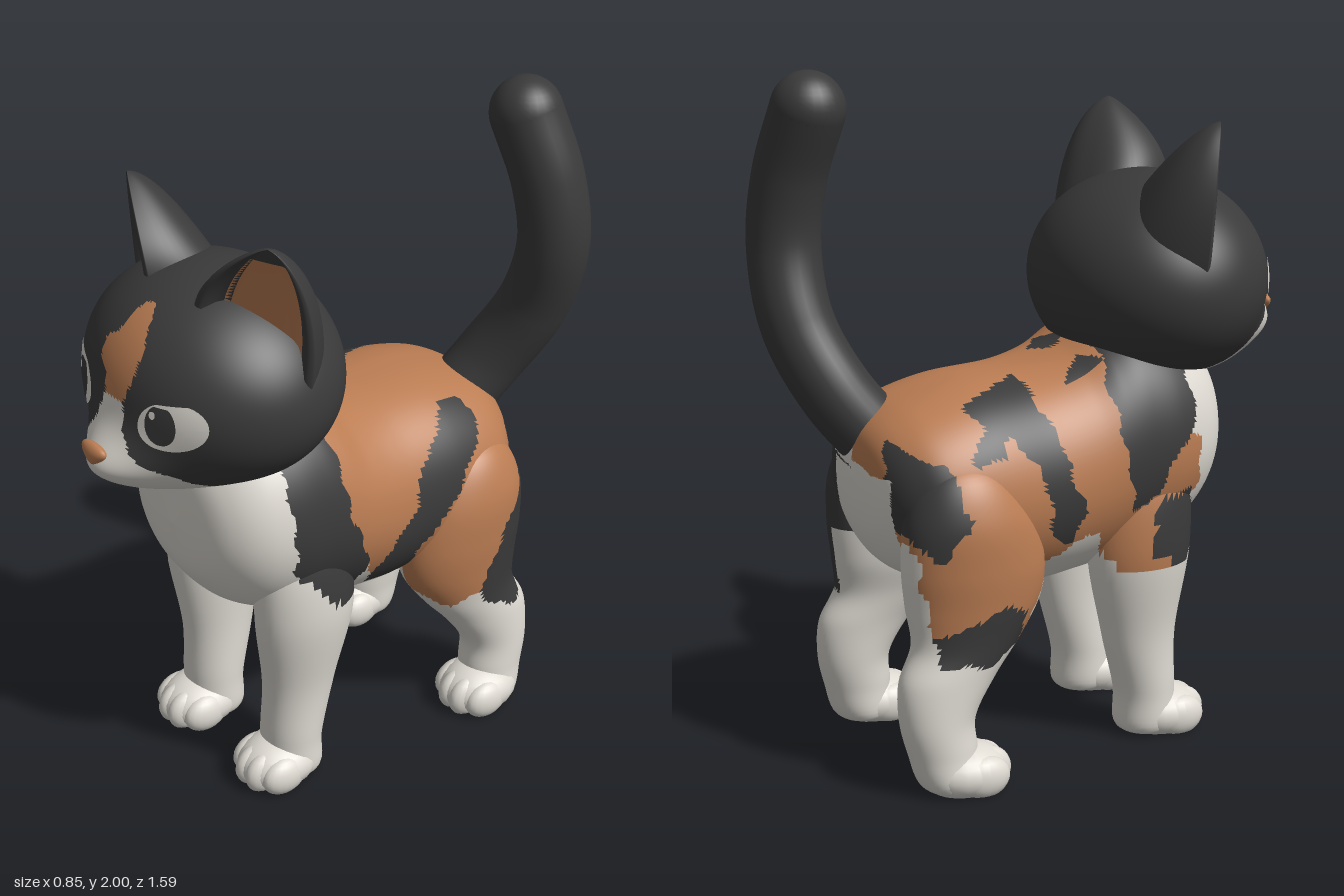
import * as THREE from 'three';
import { mergeVertices } from 'three/addons/utils/BufferGeometryUtils.js';

const flat = (name, color) => {
  const m = new THREE.MeshStandardMaterial({ color });
  m.name = name;
  return m;
};
const WHITE = 0, DARK = 1, ORANGE = 2;

// Coat patches seen from the side as [z, y] outlines, one list per flank; later ones lie on top.
const LEFT_COAT = [
  [ORANGE, [[.17, 1.3], [.17, 1.05], [.13, .85], [.04, .69], [-.05, .6], [-.12, .55], [-.16, .49], [-.27, .44], [-.36, .5],
    [-.45, .7], [-.55, .83], [-.62, 1.0], [-.6, 1.3]]],
  [DARK, [[.34, 1.2], [.325, .8], [.2, .65], [.1, .6], [.05, .7], [.14, .93], [.16, 1.2]]],
  [DARK, [[-.37, 1.085], [-.29, 1.07], [-.14, .96], [-.1, .86], [-.02, .75], [.03, .65], [.02, .58], [-.07, .56], [-.13, .6],
    [-.14, .7], [-.23, .81], [-.41, 1.03]]],
  [DARK, [[-.54, .94], [-.62, .9], [-.62, .6], [-.53, .37], [-.46, .37], [-.39, .41], [-.33, .49], [-.42, .68], [-.52, .8]]],
];
const RIGHT_COAT = [
  [ORANGE, [[.12, 1.3], [.28, .97], [.36, .93], [.37, .78], [.26, .56], [.1, .55], [.02, .7], [-.08, .66], [-.15, .6], [-.25, .42],
    [-.5, .42], [-.54, .6], [-.58, .85], [-.65, 1.0], [-.6, 1.3]]],
  [DARK, [[.33, 1.2], [.35, .97], [.28, .92], [.22, .78], [.14, .74], [.1, .9], [.08, 1.1], [.1, 1.2]]],
  [DARK, [[.34, .78], [.39, .68], [.37, .57], [.28, .55], [.2, .6], [.2, .72], [.26, .77]]],
  [DARK, [[-.16, 1.1], [-.1, 1.0], [-.08, .88], [-.03, .76], [-.08, .67], [-.14, .72], [-.16, .86], [-.22, .98], [-.28, 1.06]]],
  [DARK, [[-.23, .52], [-.26, .42], [-.33, .38], [-.5, .39], [-.52, .48], [-.42, .5], [-.34, .55]]],
  [DARK, [[-.45, .95], [-.42, .8], [-.5, .7], [-.6, .78], [-.6, .88], [-.56, 1.0]]],
];
// Patches on the back as [x, z] outlines
const BACK_SPOTS = [
  [[-.38, -.36], [-.31, -.38], [-.27, -.32], [-.19, -.35], [-.14, -.23], [-.08, -.14], [-.2, -.12], [-.25, -.17], [-.3, -.27], [-.38, -.27]],
  [[-.2, -.02], [-.16, 0], [-.12, .05], [-.2, .1]],
  [[-.02, .02], [.06, -.02], [.09, .01], [.13, .04], [0, .1]],
];
// Face markings as [x, y] outlines
const BLAZE = [[-.02, 1.613], [-.04, 1.585], [-.05, 1.54], [-.09, 1.51], [-.085, 1.46], [-.04, 1.43], [-.035, 1.38], [.045, 1.38],
  [.07, 1.45], [.07, 1.53], [.045, 1.57], [.035, 1.59], [.012, 1.615]];
const MASK = [[-.035, 1.385], [.045, 1.385], [.06, 1.3], [.11, 1.23], [.18, 1.18], [.21, 1.09], [.3, 1.0], [-.3, 1.0],
  [-.21, 1.09], [-.18, 1.18], [-.11, 1.23], [-.06, 1.3]];

function inside(x, y, poly) {
  let hit = false;
  poly.forEach(([ax, ay], i) => {
    const [bx, by] = poly[(i + 1) % poly.length];
    if ((ay > y) !== (by > y) && x < ((bx - ax) * (y - ay)) / (by - ay) + ax) hit = !hit;
  });
  return hit;
}

// Coat colour at a point of the body or legs, with slightly wavy patch edges
function coat(p) {
  const x = p.x;
  const y = p.y + .007 * Math.sin(p.z * 47), z = p.z + .007 * Math.sin(p.y * 53);
  if (Math.abs(x) < .245 && (y < .64 || (z > .2 && y < .8))) return WHITE;
  if (y < .9 && z < -.5 && x > -.2 && x < .13) return WHITE;
  if (y > .95 && BACK_SPOTS.some((s) => inside(x, z, s))) return DARK;
  if (y > 1.0 && z < .1 && Math.abs(x) < .2) return ORANGE;
  let colour = WHITE;
  for (const [c, poly] of x > 0 ? LEFT_COAT : RIGHT_COAT) if (inside(z, y, poly)) colour = c;
  return colour;
}

// Sorts the triangles of an indexed geometry into one material group per colour
function paint(geo, rule) {
  const pos = geo.attributes.position, src = geo.index.array, bins = [[], [], []];
  const c = new THREE.Vector3(), v = new THREE.Vector3();
  for (let i = 0; i < src.length; i += 3) {
    c.set(0, 0, 0);
    for (let k = 0; k < 3; k++) c.addScaledVector(v.fromBufferAttribute(pos, src[i + k]), 1 / 3);
    bins[rule(c, i / 6)].push(src[i], src[i + 1], src[i + 2]);
  }
  geo.setIndex(bins.flat());
  let start = 0;
  bins.forEach((b, m) => {
    if (b.length) geo.addGroup(start, b.length, m);
    start += b.length;
  });
  geo.computeVertexNormals();
  return geo;
}

// Skin over closed rings; at(t, angle) gives each point
function rings(n, m, at, flip = false) {
  const pos = [], idx = [];
  for (let i = 0; i <= n; i++) for (let j = 0; j < m; j++) pos.push(...at(i / n, (j / m) * Math.PI * 2));
  for (let i = 0; i < n; i++) for (let j = 0; j < m; j++) {
    const a = i * m + j, b = i * m + ((j + 1) % m), c = b + m, d = a + m;
    idx.push(...(flip ? [a, c, b, a, d, c] : [a, b, c, a, c, d]));
  }
  const geo = new THREE.BufferGeometry();
  geo.setAttribute('position', new THREE.Float32BufferAttribute(pos, 3));
  geo.setIndex(idx);
  return geo;
}

// Loft through rows [x, y, z, radiusX, radiusOther]; upright lofts have level rings, others a squarer top
function loft(rows, n, m, upright) {
  const spline = (pts) => new THREE.CatmullRomCurve3(pts, false, 'catmullrom', .5);
  const mid = spline(rows.map((r) => new THREE.Vector3(r[0], r[1], r[2])));
  const rad = spline(rows.map((r) => new THREE.Vector3(r[3], r[4], 0)));
  return rings(n, m, (t, a) => {
    const p = mid.getPoint(t), r = rad.getPoint(t), cos = Math.cos(a);
    const v = Math.max(r.y, 0) * Math.sin(a), u = Math.max(r.x, 0);
    if (upright) return [p.x + u * cos, Math.max(p.y, 0), p.z + v];
    return [p.x + u * Math.sign(cos) * Math.abs(cos) ** (v > 0 ? .82 : 1), p.y + v, p.z];
  });
}

// Front surface of the head, with the muzzle swelling out of it
const HEAD = { y: 1.36, z: .36, rx: .4, ry: .31, rz: .34 };
function faceZ(x, y) {
  const d = Math.sqrt(Math.max(0, 1 - (x / HEAD.rx) ** 2 - ((y - HEAD.y) / HEAD.ry) ** 2));
  const muzzle = .15 * Math.exp(-((x / .16) ** 2) - ((y - 1.155) / (y > 1.155 ? .115 : .2)) ** 2);
  return HEAD.z + HEAD.rz * d + muzzle * THREE.MathUtils.smoothstep(d, 0, .4);
}

export function createModel() {
  const cat = new THREE.Group();
  cat.name = 'cat';
  const mats = [flat('white fur', 0xdedad2), flat('dark fur', 0x3a3a3a), flat('orange fur', 0xbb7d53)];
  const add = (name, geo, mat = mats) => {
    const mesh = new THREE.Mesh(geo, mat);
    mesh.name = name;
    cat.add(mesh);
    return mesh;
  };

  // Body, from rump to chest: [z, top, bottom, half width]
  const sections = [[-.61, .87, .87, 0], [-.602, .95, .77, .1], [-.58, 1.01, .69, .2], [-.53, 1.055, .61, .28], [-.45, 1.09, .56, .33],
    [-.3, 1.125, .51, .35], [-.1, 1.14, .49, .345], [.03, 1.175, .5, .342], [.12, 1.23, .51, .34], [.2, 1.26, .52, .337], [.3, 1.25, .55, .33],
    [.4, 1.21, .61, .3], [.47, 1.15, .69, .24], [.51, 1.07, .77, .15], [.525, .9, .9, 0]];
  const bodyRows = sections.map(([z, top, low, w]) => [0, (top + low) / 2, z, w, (top - low) / 2]);
  add('body', paint(loft(bodyRows, 150, 140, false), coat));

  // Head
  const skull = new THREE.SphereGeometry(1, 180, 120);
  skull.deleteAttribute('uv');
  skull.deleteAttribute('normal');
  const sp = skull.attributes.position;
  for (let i = 0; i < sp.count; i++) {
    const x = sp.getX(i) * HEAD.rx, y = HEAD.y + sp.getY(i) * HEAD.ry, z = sp.getZ(i);
    sp.setXYZ(i, x, y, z > 0 ? faceZ(x, y) : HEAD.z + z * HEAD.rz);
  }
  add('head', paint(mergeVertices(skull, 1e-5), (p) => {
    if (p.z < .3) return DARK;
    if (inside(p.x, p.y, BLAZE)) return ORANGE;
    return p.y < 1.09 || inside(p.x, p.y, MASK) ? WHITE : DARK;
  }));

  // Thin almond plate lying on the face
  const plate = (name, x, y, rx, ry, lift, mat, tilt = 0) => {
    const geo = new THREE.RingGeometry(0, 1, 40, 8), p = geo.attributes.position;
    for (let i = 0; i < p.count; i++) {
      const px = x + p.getX(i) * rx, py = y + Math.min(p.getY(i), .88) * ry + p.getX(i) * tilt;
      p.setXYZ(i, px, py, faceZ(px, py) + lift);
    }
    geo.computeVertexNormals();
    add(name, geo, mat);
  };

  // Nose, a small rounded triangle
  const nose = new THREE.SphereGeometry(1, 24, 16), np = nose.attributes.position;
  for (let i = 0; i < np.count; i++) {
    const y = np.getY(i);
    np.setXYZ(i, np.getX(i) * (.044 + .03 * y), y * .033, np.getZ(i) * .022);
  }
  nose.computeVertexNormals();
  add('nose', nose, mats[ORANGE]).position.set(0, 1.226, .77);

  for (const s of [1, -1]) {
    const side = s > 0 ? 'left' : 'right';

    // Eyes
    plate(side + 'Eye', s * .2, 1.355, .092, .074, .005, mats[WHITE], s * .012);
    plate(side + 'Pupil', s * .176, 1.357, .043, .06, .009, mats[DARK]);
    plate(side + 'EyeGlint', s * .176 - .02, 1.385, .009, .012, .012, mats[WHITE]);

    // Ears: crescent rings narrowing to a rounded tip, hollow side facing forward and outward
    const n = 40, m = 50;
    const ear = rings(n, m, (k, a) => {
      const t = 1 - 1.3 * (1 - k) ** 2, base = Math.max(t, 0);
      const sin = Math.sin(a), cos = Math.cos(a), depth = (1 - base) ** .62;
      const u = Math.sign(cos) * Math.abs(cos) ** (sin > 0 ? .8 : 1) * .168 * (1 - base ** 2.2) ** .72;
      const w = sin > 0 ? .24 * sin ** .85 * depth : .07 * depth * THREE.MathUtils.smoothstep(-sin, .45, .85) + .025 * sin * depth;
      return [s * (.245 + .065 * t + .86 * u - .51 * w), 1.54 + .305 * t - .5 * u * (1 - base), .41 - .51 * u - .86 * w];
    }, s < 0);
    add(side + 'Ear', paint(ear, (p, cell) => {
      const t = 1 - 1.3 * (1 - (Math.floor(cell / m) + .5) / n) ** 2, a = (((cell % m) + .5) / m) * Math.PI * 2;
      const across = Math.cos(a);
      return Math.sin(a) < 0 && across > -.58 && across < .74 && t < .84 ? ORANGE : DARK;
    }));

    // Front leg
    add(side + 'FrontLeg', paint(loft([[s * .21, .9, .23, 0, 0], [s * .215, .82, .23, .09, .13], [s * .215, .6, .215, .118, .162],
      [s * .198, .33, .225, .097, .116], [s * .193, .14, .25, .096, .092], [s * .193, .02, .25, .09, .085], [s * .193, 0, .25, 0, 0]],
    44, 44, true), coat));

    // Hind leg with its thigh
    add(side + 'HindLeg', paint(loft([[s * .22, .98, -.38, 0, 0], [s * .235, .92, -.38, .1, .12], [s * .255, .8, -.37, .136, .19],
      [s * .258, .66, -.355, .139, .215], [s * .256, .54, -.355, .132, .205], [s * .268, .43, -.385, .11, .165], [s * .28, .33, -.45, .099, .146],
      [s * .287, .22, -.487, .095, .112], [s * .293, .12, -.475, .094, .102], [s * .3, .02, -.46, .09, .08], [s * .3, 0, -.46, 0, 0]],
    70, 64, true), coat));

    // Paws with four softly swelling toes each, flat underneath
    for (const [name, x, z] of [['FrontPaw', .195, .305], ['HindPaw', .308, -.415]]) {
      const blob = (label, bx, by, bz, rx, ry, rz) => {
        const geo = new THREE.SphereGeometry(1, 20, 14).scale(rx, ry, rz).translate(bx, by, bz);
        const p = geo.attributes.position;
        for (let i = 0; i < p.count; i++) p.setY(i, Math.max(0, p.getY(i)));
        geo.computeVertexNormals();
        add(label, geo, mats[WHITE]);
      };
      blob(side + name, s * x, .055, z, .112, .082, .128);
      for (const k of [-1.5, -.5, .5, 1.5]) {
        const outer = Math.abs(k) > 1;
        blob(side + name + 'Toe', s * x + k * .047, .05, z + (outer ? .03 : .058), .044, outer ? .062 : .07, .078);
      }
    }
  }

  // Tail
  const path = new THREE.CatmullRomCurve3([[.05, .93, -.48], [.11, 1.09, -.6], [.2, 1.28, -.675], [.262, 1.5, -.685],
    [.24, 1.7, -.67], [.17, 1.893, -.638]].map((p) => new THREE.Vector3(...p)));
  add('tail', new THREE.TubeGeometry(path, 60, .107, 28), mats[DARK]);
  add('tailTip', new THREE.SphereGeometry(.107, 28, 20), mats[DARK]).position.copy(path.getPoint(1));
  return cat;
}
